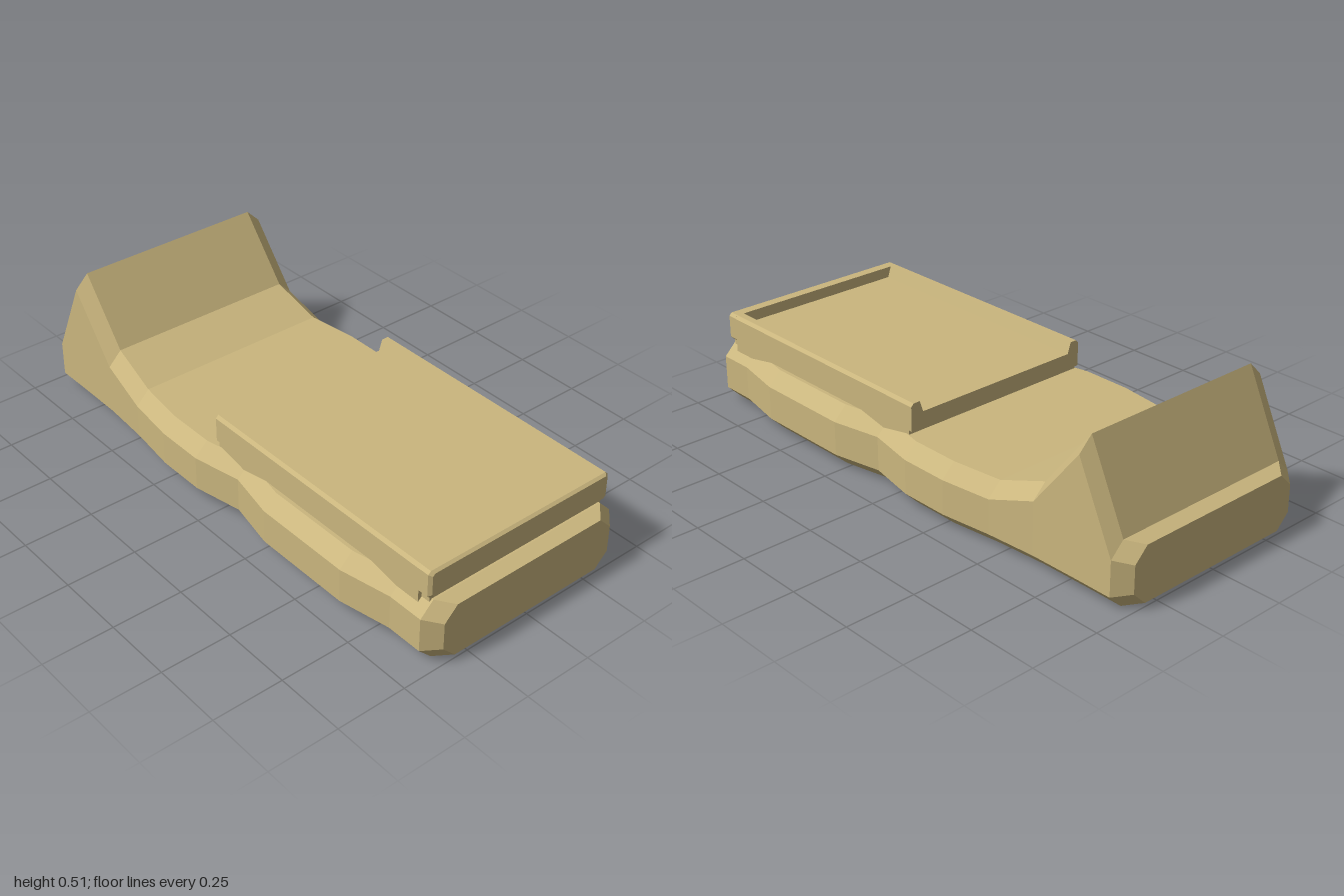
import * as THREE from 'three';

const material = new THREE.MeshStandardMaterial({ color: 0xcab67e, flatShading: true });

// Join convex cross-sections, ordered front to back, each { z, pts } running counter-clockwise
function loft(sections) {
  const pos = [];
  const n = sections[0].pts.length;
  const put = (i, j) => pos.push(...sections[i].pts[j % n], sections[i].z);
  const last = sections.length - 1;
  for (let i = 0; i < last; i++) {
    for (let j = 0; j < n; j++) {
      put(i, j); put(i + 1, j); put(i, j + 1);
      put(i, j + 1); put(i + 1, j); put(i + 1, j + 1);
    }
  }
  for (let j = 1; j < n - 1; j++) {
    put(0, 0); put(0, j); put(0, j + 1);
    put(last, 0); put(last, j + 1); put(last, j);
  }
  const geometry = new THREE.BufferGeometry();
  geometry.setAttribute('position', new THREE.Float32BufferAttribute(pos, 3));
  geometry.computeVertexNormals();
  return geometry;
}

// Rectangle with chamfered corners
function octagon(w, y0, y1, c) {
  return [
    [w - c, y0], [w, y0 + c], [w, y1 - c], [w - c, y1],
    [c - w, y1], [-w, y1 - c], [-w, y0 + c], [c - w, y0],
  ];
}

function extrude(points, z0, z1) {
  const shape = new THREE.Shape(points.map(([x, y]) => new THREE.Vector2(x, y)));
  const geometry = new THREE.ExtrudeGeometry(shape, { depth: z1 - z0, bevelEnabled: false });
  return geometry.translate(0, 0, z0);
}

export function createModel() {
  const model = new THREE.Group();
  model.name = 'wristDevice';
  const add = (name, geometry) => {
    const mesh = new THREE.Mesh(geometry, material);
    mesh.name = name;
    model.add(mesh);
    return mesh;
  };

  // Body stations: z, half width, bottom, top
  const stations = [
    [1, 0.35, 0.013, 0.208],
    [0.95, 0.4, 0, 0.22],
    [0.82, 0.4, 0, 0.22],
    [0.635, 0.436, 0, 0.22],
    [0.27, 0.436, 0, 0.22],
    [0.09, 0.4, 0, 0.22],
    [-0.09, 0.436, 0, 0.22],
    [-0.27, 0.436, 0, 0.22],
    [-0.455, 0.413, 0, 0.22],
    [-0.635, 0.4, 0, 0.283],
    [-0.815, 0.398, 0, 0.508],
    [-0.95, 0.398, 0, 0.222],
    [-1, 0.35, 0.013, 0.208],
  ];
  add('body', loft(stations.map(([z, w, y0, y1]) => ({ z, pts: octagon(w, y0, y1, 0.049) }))));

  // Tray with raised side rails, open towards the back
  const tray = (bottom) => [
    [-0.374, bottom], [0.374, bottom], [0.374, 0.321], [0.364, 0.332], [0.338, 0.332],
    [0.325, 0.292], [-0.325, 0.292], [-0.338, 0.332], [-0.364, 0.332], [-0.374, 0.321],
  ];
  add('tray', extrude(tray(0.18), -0.04, 0.91));
  add('trayRearLip', extrude(tray(0.235), -0.053, -0.04));

  // Front wall of the tray, overhanging a narrower foot
  add('trayFrontWall', loft([
    { z: 0.957, pts: octagon(0.364, 0.24, 0.325, 0.008) },
    { z: 0.947, pts: octagon(0.374, 0.232, 0.332, 0.01) },
    { z: 0.91, pts: octagon(0.374, 0.232, 0.332, 0.01) },
  ]));
  const foot = add('trayFoot', new THREE.BoxGeometry(0.72, 0.07, 0.05));
  foot.position.set(0, 0.21, 0.918);

  return model;
}
